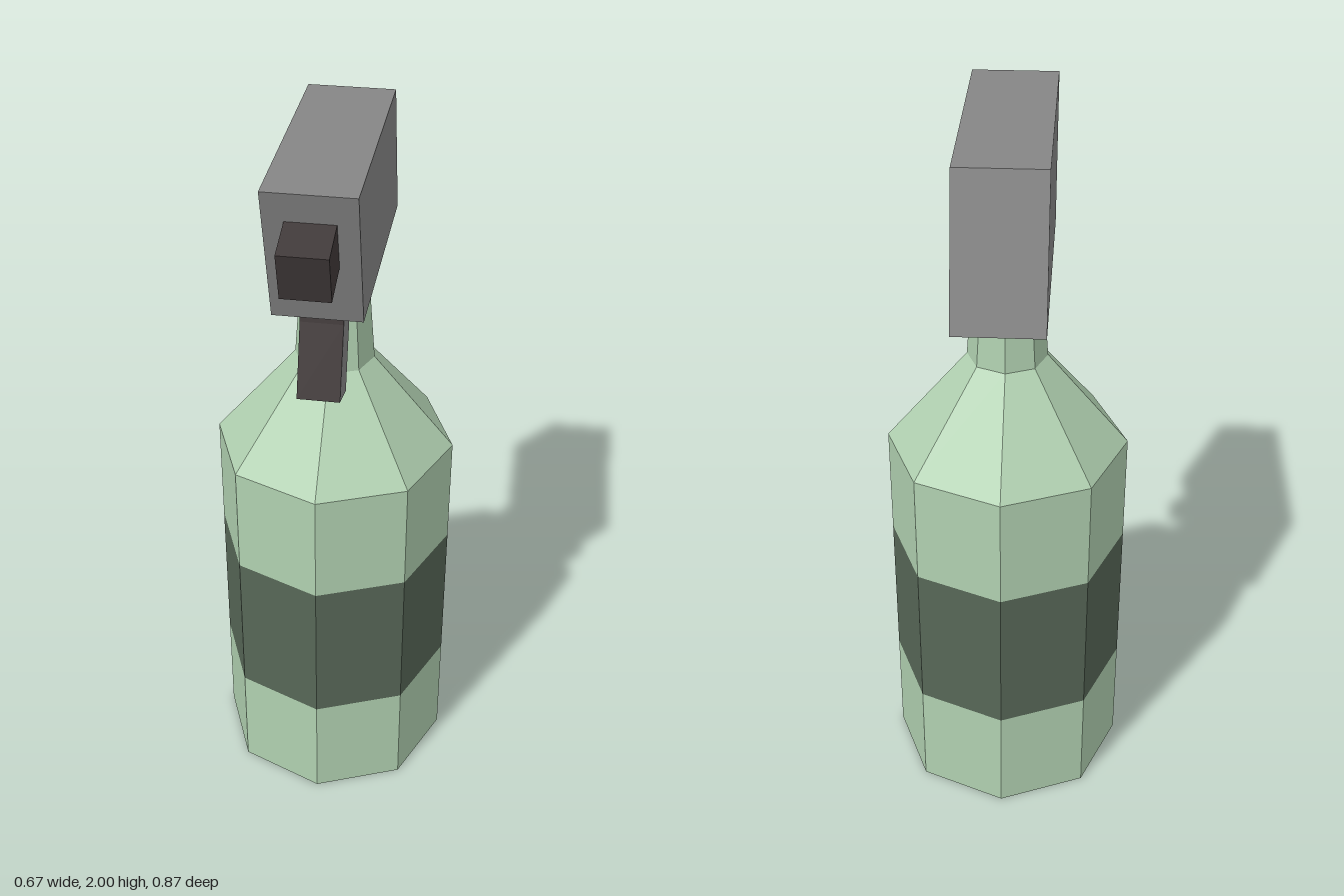
import * as THREE from 'three';

const paint = (name, color) => {
  const m = new THREE.MeshStandardMaterial({ color });
  m.name = name;
  m.flatShading = true;
  return m;
};

export function createModel() {
  const group = new THREE.Group();
  const green = paint('light green', 0xb0d0b0);
  const darkGreen = paint('dark green', 0x576757);
  const grey = paint('grey', 0x868686);
  const brown = paint('dark brown', 0x403939);

  const add = (name, geometry, material) => {
    const mesh = new THREE.Mesh(geometry, material);
    mesh.name = name;
    group.add(mesh);
    return mesh;
  };

  // Eight-sided bottle, stacked from open rings
  const bottleZ = -0.042;
  const ring = (name, y0, y1, r0, r1, material) => {
    const geometry = new THREE.CylinderGeometry(r1, r0, y1 - y0, 8, 1, true);
    add(name, geometry, material).position.set(0, (y0 + y1) / 2, bottleZ);
  };
  ring('lowerBody', 0, 0.32, 0.336, 0.336, green);
  ring('label', 0.32, 0.76, 0.336, 0.336, darkGreen);
  ring('upperBody', 0.76, 1.08, 0.336, 0.336, green);
  ring('shoulder', 1.08, 1.35, 0.336, 0.11, green);
  ring('neck', 1.35, 1.62, 0.11, 0.09, green);

  // Bottom of the bottle, facing down
  const base = add('base', new THREE.CircleGeometry(0.336, 8), green);
  base.rotation.x = Math.PI / 2;
  base.position.z = bottleZ;

  // Side profile as [z, y] points, extruded across x
  const slab = (name, profile, width, material) => {
    const shape = new THREE.Shape(profile.map(([z, y]) => new THREE.Vector2(-z, y)));
    const geometry = new THREE.ExtrudeGeometry(shape, { depth: width, bevelEnabled: false });
    geometry.translate(0, 0, -width / 2).rotateY(Math.PI / 2);
    add(name, geometry, material);
  };

  // Slanted spray head
  slab('sprayHead', [[0.345, 2], [-0.325, 2], [-0.435, 1.615], [0.235, 1.615]], 0.234, grey);

  // Nozzle, tilted with the head
  slab('nozzle', [[0.435, 1.887], [0.322, 1.918], [0.284, 1.787], [0.398, 1.755]], 0.127, brown);

  // Bent trigger: grey cheeks, dark front and back
  slab('trigger', [[0.161, 1.62], [0.171, 1.565], [0.23, 1.368], [0.13, 1.341],
    [0.071, 1.553], [0.066, 1.62]], 0.114, [grey, brown]);

  return group;
}
